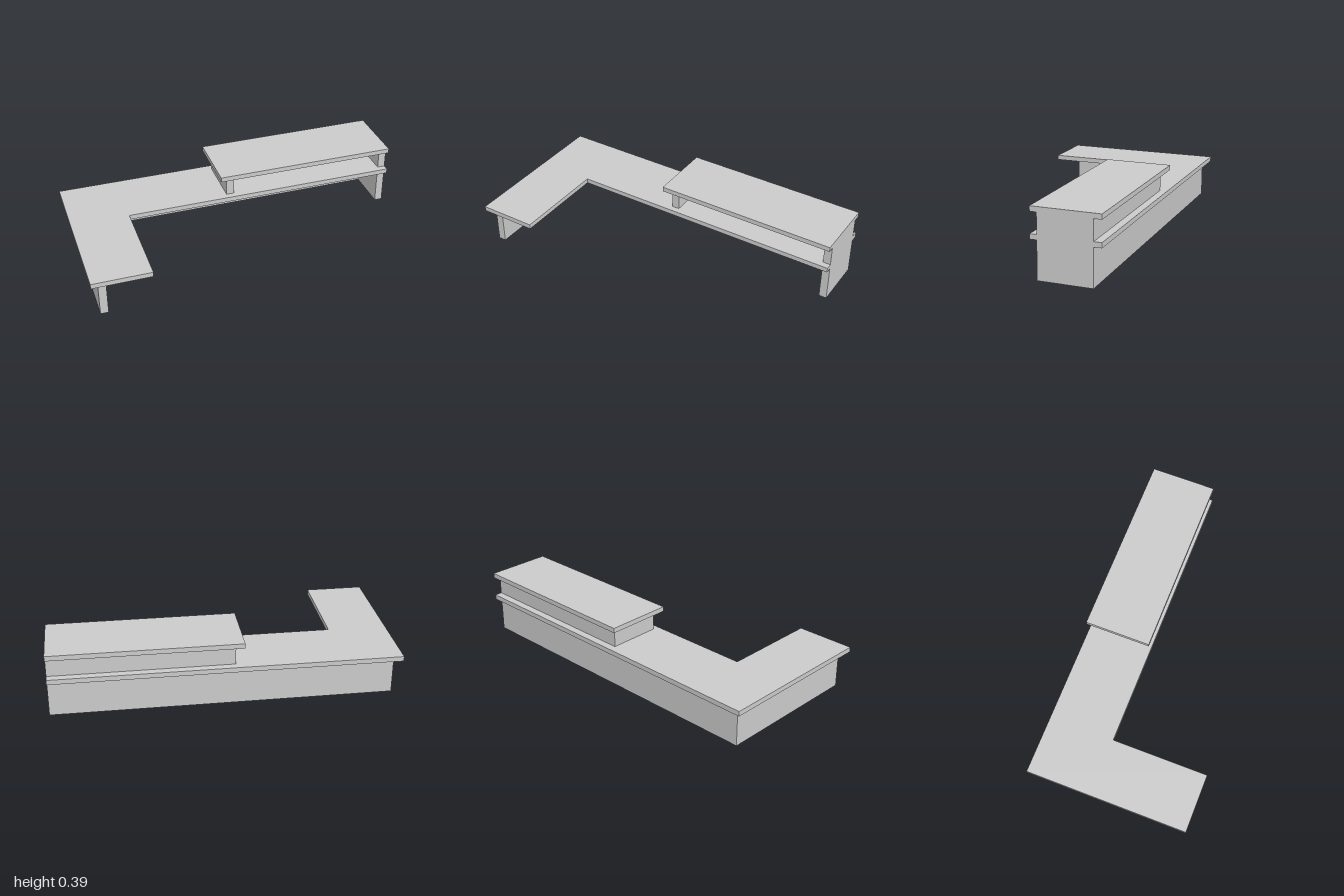
import * as THREE from 'three';

const material = new THREE.MeshStandardMaterial({ color: 0xcccccc, flatShading: true });

// Box given by its extents on each axis
function slab(name, [x0, x1], [y0, y1], [z0, z1]) {
  const mesh = new THREE.Mesh(new THREE.BoxGeometry(x1 - x0, y1 - y0, z1 - z0), material);
  mesh.name = name;
  mesh.position.set((x0 + x1) / 2, (y0 + y1) / 2, (z0 + z1) / 2);
  return mesh;
}

export function createModel() {
  const group = new THREE.Group();
  group.name = 'receptionCounter';

  const lower = [0.217, 0.246]; // worktop thickness
  const upper = [0.363, 0.392]; // raised shelf thickness
  const wall = 0.046;
  const back = -0.438;

  // L-shaped worktop, drawn in plan and extruded upward
  const plan = new THREE.Shape([
    [-1, 0.482], [-1, -0.482], [-0.655, -0.482],
    [-0.655, 0.092], [1, 0.092], [1, 0.482],
  ].map(([x, y]) => new THREE.Vector2(x, y)));
  const topGeometry = new THREE.ExtrudeGeometry(plan, { depth: lower[1] - lower[0], bevelEnabled: false });
  topGeometry.rotateX(-Math.PI / 2);
  const worktop = new THREE.Mesh(topGeometry, material);
  worktop.name = 'worktop';
  worktop.position.y = lower[0];
  group.add(worktop);

  // Walls under the worktop
  group.add(
    slab('backPanel', [-0.955, 1 - wall], [0, lower[0]], [back, back + wall]),
    slab('returnPanel', [-0.955, -0.955 + wall], [0, lower[0]], [back + wall, 0.438]),
    slab('endPanel', [1 - wall, 1], [0, upper[0]], [back, -0.13]),
  );

  // Raised shelf and its supports
  group.add(
    slab('raisedTop', [-0.09, 1], upper, [-0.482, -0.092]),
    slab('raisedBackPanel', [-0.046, 1 - wall], [lower[1], upper[0]], [back, back + wall]),
    slab('raisedSidePanel', [-0.046, 0], [lower[1], upper[0]], [back + wall, -0.13]),
  );

  return group;
}
